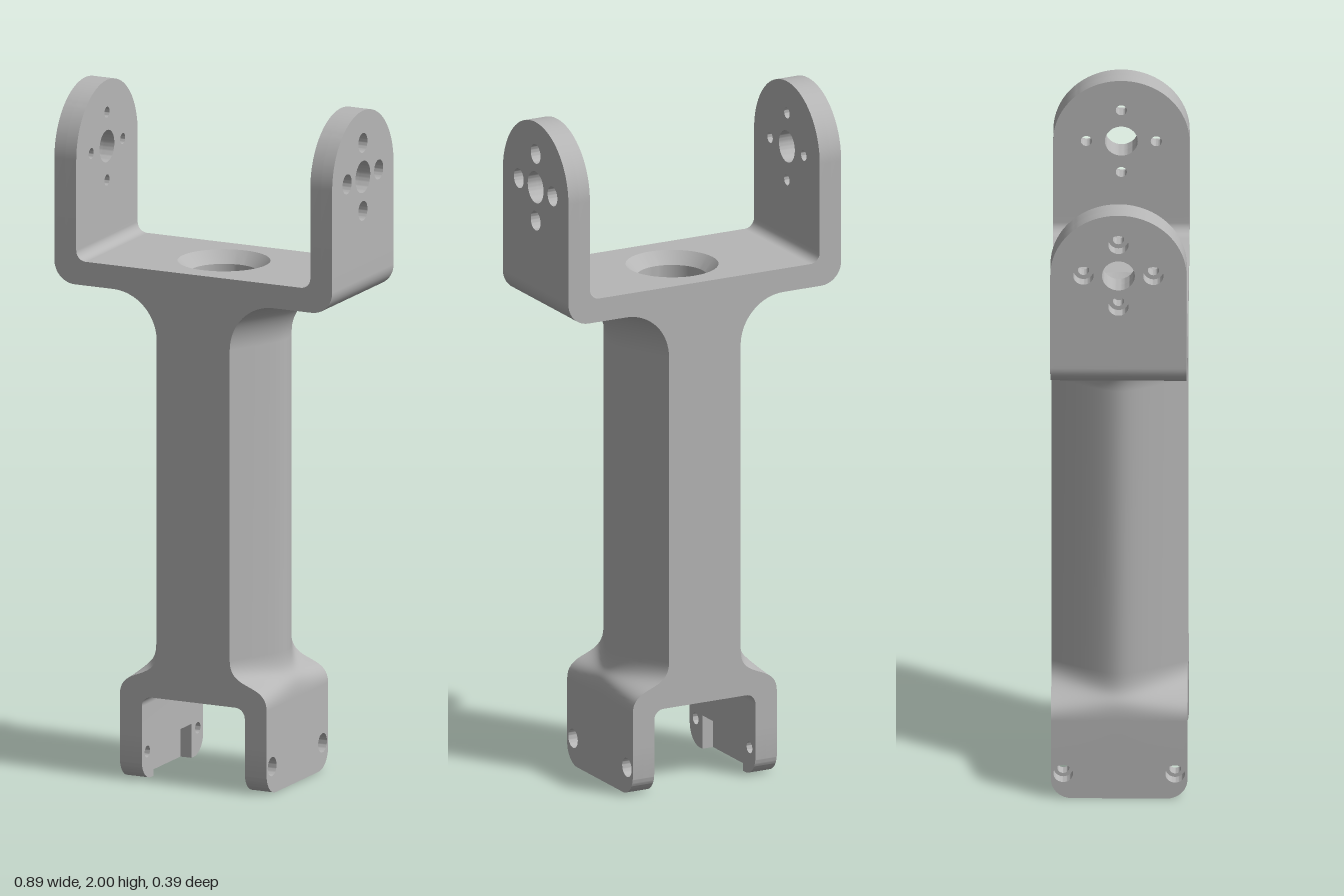
import * as THREE from 'three';
import { toCreasedNormals } from 'three/addons/utils/BufferGeometryUtils.js';

const D = 0.195; // half depth
const Y0 = 0.14, Y1 = 1.56; // where the body meets the lower legs and upper arms
const V = (x, y) => new THREE.Vector2(x, y);

// Quarter-arc points
function arc(cx, cy, r, a0, a1, n = 10) {
  const pts = [];
  for (let i = 0; i <= n; i++) {
    const a = THREE.MathUtils.degToRad(a0 + ((a1 - a0) * i) / n);
    pts.push(V(cx + r * Math.cos(a), cy + r * Math.sin(a)));
  }
  return pts;
}

// Column half width: hexagonal with a softened side ridge
const halfWidth = (z) => 0.23 - Math.hypot(0.56 * z, 0.03);

// Outer side profile at depth z, from bottom to top
function sideProfile(z) {
  const w = halfWidth(z);
  const shoulder = new THREE.CubicBezierCurve(V(0.235, 0.25), V(0.235, 0.335), V(w, 0.295), V(w, 0.385));
  return [
    V(0.235, Y0), ...shoulder.getPoints(20),
    ...arc(w + 0.14, 1.3, 0.14, 180, 90, 16),
    ...arc(0.38, 1.505, 0.065, -90, 0), V(0.445, Y1),
  ];
}
const upperChannel = () => [V(0.375, Y1), ...arc(0.345, 1.54, 0.03, 0, -90)];
const lowerChannel = () => [...arc(0.135, 0.22, 0.03, 90, 0), V(0.165, Y0)];

// Surface swept through depth from a profile rule
function skin(profile, rows) {
  const pos = [], index = [];
  let n = 0;
  for (let j = 0; j <= rows; j++) {
    const z = -D + (2 * D * j) / rows;
    const pts = profile(z);
    n = pts.length;
    pts.forEach((p) => pos.push(p.x, p.y, z));
  }
  for (let j = 0; j < rows; j++) {
    for (let i = 0; i < n - 1; i++) {
      const a = j * n + i, b = a + n;
      index.push(a, a + 1, b, a + 1, b + 1, b);
    }
  }
  const g = new THREE.BufferGeometry();
  g.setAttribute('position', new THREE.Float32BufferAttribute(pos, 3));
  g.setIndex(index);
  g.computeVertexNormals();
  return g;
}

function hole(shape, x, y, r) {
  shape.holes.push(new THREE.Path().absarc(x, y, r, 0, Math.PI * 2, true));
}

// Plate outlined in the side plane, spanning x0..x1
function sidePlate(shape, x0, x1) {
  const g = new THREE.ExtrudeGeometry(shape, { depth: x1 - x0, bevelEnabled: false, curveSegments: 28 });
  g.rotateY(Math.PI / 2).translate(x0, 0, 0);
  return toCreasedNormals(g, 0.6);
}

// Upper arm with round top, pivot hole and four screw holes
function armShape(screwR) {
  const s = new THREE.Shape();
  s.moveTo(-D, Y1).lineTo(D, Y1).lineTo(D, 1.805);
  s.absarc(0, 1.805, D, 0, Math.PI, false);
  s.closePath();
  hole(s, 0, 1.805, 0.047);
  for (const [x, y] of [[0.1, 0], [-0.1, 0], [0, 0.1], [0, -0.1]]) hole(s, x, 1.805 + y, screwR);
  return s;
}

// Lower leg with rounded bottom corners, optionally notched in the middle
function legShape(screwR, notched) {
  const s = new THREE.Shape(), r = 0.06;
  s.moveTo(D, Y0).lineTo(-D, Y0).lineTo(-D, r);
  s.absarc(-D + r, r, r, Math.PI, Math.PI * 1.5, false);
  if (notched) s.lineTo(-0.12, 0).lineTo(-0.12, 0.1).lineTo(0.12, 0.1).lineTo(0.12, 0);
  s.lineTo(D - r, 0);
  s.absarc(D - r, r, r, -Math.PI / 2, 0, false);
  s.closePath();
  for (const x of [-0.16, 0.16]) hole(s, x, 0.08, screwR);
  return s;
}

// Flat floor of a channel with the bore opening
function floorGeometry(hw, r) {
  const s = new THREE.Shape([V(-hw, -D), V(hw, -D), V(hw, D), V(-hw, D)]);
  hole(s, 0, 0, r);
  return new THREE.ShapeGeometry(s, 32);
}

export function createModel() {
  const model = new THREE.Group();
  model.name = 'forkBracket';
  const grey = new THREE.MeshStandardMaterial({ color: 0xb6b6b6 });
  grey.name = 'grey';
  const add = (name, geometry, parent = model) => {
    const m = new THREE.Mesh(geometry, grey);
    m.name = name;
    parent.add(m);
    return m;
  };

  // Front face outline of the body
  const mirror = (pts) => pts.map((p) => V(-p.x, p.y)).reverse();
  const side = sideProfile(D), up = upperChannel(), low = lowerChannel();
  const outline = new THREE.Shape([...side, ...up, ...mirror(up), ...mirror(side), ...mirror(low), ...low]);
  const face = new THREE.ShapeGeometry(outline);
  face.translate(0, 0, D);

  const parts = {
    bodyFace: face,
    bodySide: skin(sideProfile, 40),
    upperChannelFillet: skin(upperChannel, 1),
    lowerChannelFillet: skin(lowerChannel, 1),
    armOuter: sidePlate(armShape(0.029), 0.41, 0.445),
    armInner: sidePlate(armShape(0.016), 0.375, 0.41),
    legOuter: sidePlate(legShape(0.028, false), 0.2, 0.235),
    legInner: sidePlate(legShape(0.017, true), 0.165, 0.2),
  };

  // Both halves are the same, half a turn apart
  for (const [name, turn] of [['leftHalf', 0], ['rightHalf', Math.PI]]) {
    const half = new THREE.Group();
    half.name = name;
    half.rotation.y = turn;
    for (const key in parts) add(key, parts[key], half);
    model.add(half);
  }

  // Channel floors
  add('upperFloor', floorGeometry(0.345, 0.133).rotateX(-Math.PI / 2).translate(0, 1.51, 0));
  add('lowerFloor', floorGeometry(0.135, 0.13).rotateX(Math.PI / 2).translate(0, 0.25, 0));

  // Hollow bore with chamfered ends
  const bore = new THREE.LatheGeometry([V(0.133, 1.51), V(0.1, 1.475), V(0.1, 0.285), V(0.13, 0.25)], 64);
  add('bore', toCreasedNormals(bore, 0.5));
  return model;
}
